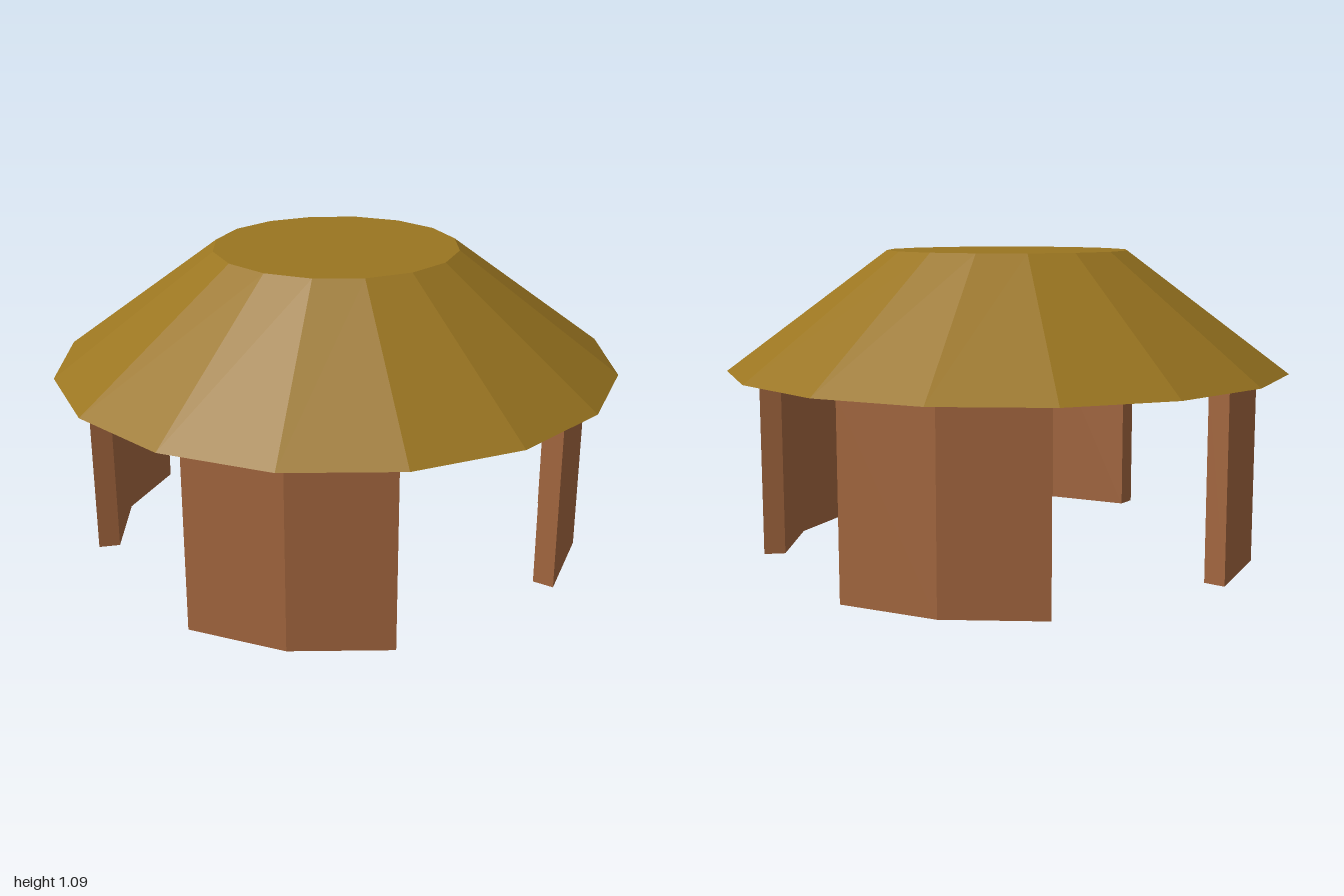
import * as THREE from 'three';

export function createModel() {
  const model = new THREE.Group();
  model.name = 'roundPavilion';
  const roofMat = new THREE.MeshStandardMaterial({ color: 0x9a7520, flatShading: true });
  const wallMat = new THREE.MeshStandardMaterial({ color: 0xa4673f, flatShading: true });

  const sides = 16, step = (Math.PI * 2) / sides;
  const wallHeight = 0.67, roofHeight = 0.42;

  // Truncated sixteen-sided roof with a flat underside
  const roof = new THREE.Mesh(new THREE.CylinderGeometry(0.433, 1, roofHeight, sides), roofMat);
  roof.name = 'roof';
  roof.position.y = wallHeight + roofHeight / 2;
  model.add(roof);

  // Bent wall panel: two facets of a sixteen-sided ring, centred on 45 degrees
  const outer = 0.89, inner = 0.815;
  const at = (r, i) => new THREE.Vector2(r * Math.cos(i * step), r * Math.sin(i * step));
  const section = new THREE.Shape([
    at(outer, 1), at(outer, 2), at(outer, 3),
    at(inner, 3), at(inner, 2), at(inner, 1),
  ]);
  const wallGeo = new THREE.ExtrudeGeometry(section, { depth: wallHeight, bevelEnabled: false });
  wallGeo.rotateX(-Math.PI / 2);

  // One panel on each diagonal
  ['backLeft', 'backRight', 'frontRight', 'frontLeft'].forEach((corner, i) => {
    const wall = new THREE.Mesh(wallGeo, wallMat);
    wall.name = corner + 'Wall';
    wall.rotation.y = (i * Math.PI) / 2;
    model.add(wall);
  });

  return model;
}
